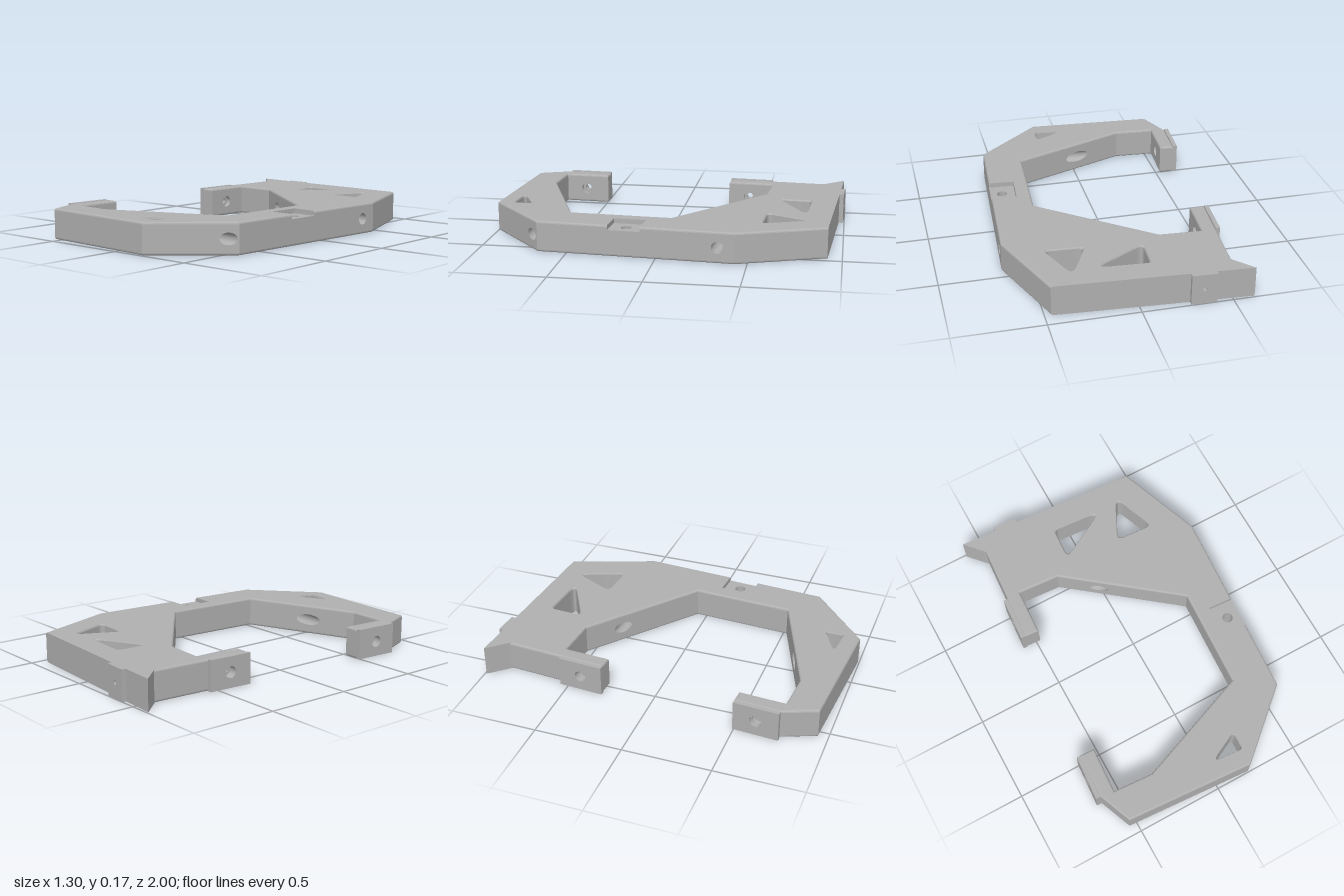
import * as THREE from 'three';
import { toCreasedNormals } from 'three/addons/utils/BufferGeometryUtils.js';

const H = 0.175, B = 0.012, FLOOR = 0.148, MID = 0.0875;
const V = (x, y, z) => new THREE.Vector3(x, y, z);
const UP = V(0, 1, 0);
const AXIS = V(-0.998, 0, -0.064).normalize(); // drilling direction
const SIDE = UP.clone().cross(AXIS);

// Plan outline as [x, z]; the pair marked as pocket lies on the straight right edge
const OUT = [
  [-0.62, -0.99], [-0.52, -0.88], [-0.56, -0.29], [-0.475, -0.285], [-0.46, -0.55], [-0.22, -0.535],
  [0.39, -0.055], [0.36, 0.52], [-0.31, 0.775], [-0.54, 0.76], [-0.525, 0.495], [-0.61, 0.49],
  [-0.625, 0.745], [-0.545, 0.945], [0.2, 0.995], [0.575, 0.665],
  [0.6005, 0.265], [0.612, 0.083], // pocket
  [0.645, -0.435], [0.465, -0.92],
];
const N = OUT.length, POCKET = 16, SHARP = [0, N - 1];

// Collects triangles, each turned to face a wanted direction
class Skin {
  constructor() { this.pos = []; }
  tri(a, b, c, n) {
    const f = b.clone().sub(a).cross(c.clone().sub(a));
    for (const p of f.dot(n) < 0 ? [a, c, b] : [a, b, c]) this.pos.push(p.x, p.y, p.z);
  }
  quad(a, b, c, d, n) { this.tri(a, b, c, n); this.tri(a, c, d, n); }
  face(contour, holes, n) {
    const u = (Math.abs(n.y) > 0.9 ? V(1, 0, 0) : UP).clone().cross(n).normalize();
    const v = n.clone().cross(u);
    const flat = (ps) => ps.map((p) => new THREE.Vector2(p.dot(u), p.dot(v)));
    const all = [contour, ...holes].flat();
    for (const [a, b, c] of THREE.ShapeUtils.triangulateShape(flat(contour), holes.map(flat)))
      this.tri(all[a], all[b], all[c], n);
  }
  // Hole lining between two rings, facing inwards
  lining(r0, r1) {
    const mid = (r) => r.reduce((s, p) => s.add(p), V(0, 0, 0)).divideScalar(r.length);
    const c = mid(r0).add(mid(r1)).multiplyScalar(0.5);
    const ax = mid(r1).sub(mid(r0)).normalize();
    r0.forEach((p, i) => {
      const j = (i + 1) % r0.length;
      const n = c.clone().sub(p.clone().add(r0[j]).multiplyScalar(0.5));
      n.addScaledVector(ax, -n.dot(ax));
      this.quad(p, r0[j], r1[j], r1[i], n);
    });
  }
  geometry() {
    const g = new THREE.BufferGeometry();
    g.setAttribute('position', new THREE.Float32BufferAttribute(this.pos, 3));
    return toCreasedNormals(g, 0.24);
  }
}

const edgeNormal = (i) => {
  const [a, b] = [OUT[i], OUT[(i + 1) % N]];
  return V(a[1] - b[1], 0, b[0] - a[0]).normalize();
};

// Outline moved inwards on its bevelled edges, at height y
function outlineRing(inset, y) {
  return OUT.map(([x, z], j) => {
    const i = (j + N - 1) % N, n1 = edgeNormal(i), n2 = edgeNormal(j);
    const b1 = SHARP.includes(i) ? 0 : -inset, b2 = SHARP.includes(j) ? 0 : -inset;
    const det = n1.x * n2.z - n1.z * n2.x;
    if (Math.abs(det) < 0.02) return V(x + n1.x * b1, y, z + n1.z * b1);
    return V(x + (b1 * n2.z - b2 * n1.z) / det, y, z + (n1.x * b2 - n2.x * b1) / det);
  });
}

// Drilled circle projected along the axis onto outline wall i
function drillRing(center, r, i) {
  const n = edgeNormal(i), p = V(OUT[i][0], 0, OUT[i][1]);
  return circle(center, r).map((q) => q.addScaledVector(AXIS, p.clone().sub(q).dot(n) / AXIS.dot(n)));
}
function circle(c, r, u = UP, v = SIDE) {
  return Array.from({ length: 32 }, (_, k) => {
    const a = (k / 32) * Math.PI * 2;
    return c.clone().addScaledVector(u, r * Math.cos(a)).addScaledVector(v, r * Math.sin(a));
  });
}

// Triangular window with rounded corners, scaled about its middle
function windowRing(pts, r, scale, y) {
  const p = pts.map(([x, z]) => new THREE.Vector2(x, z));
  const c = p[0].clone().add(p[1]).add(p[2]).divideScalar(3);
  const ring = [];
  p.forEach((q, i) => {
    const a = p[(i + 2) % 3].clone().sub(q).normalize(), b = p[(i + 1) % 3].clone().sub(q).normalize();
    const d = r / Math.tan(Math.acos(a.dot(b)) / 2);
    const curve = new THREE.QuadraticBezierCurve(q.clone().addScaledVector(a, d), q, q.clone().addScaledVector(b, d));
    for (const s of curve.getPoints(10)) ring.push(s.sub(c).multiplyScalar(scale).add(c));
  });
  return ring.map((s) => V(s.x, y, s.y));
}

function bodyGeometry() {
  const skin = new Skin();
  const down = V(0, -1, 0);

  // Horizontal bores: [start, outer wall, inner wall, arm inner wall, arm outer wall]
  const bores = [[V(0.637, MID, -0.34), 18 - 1, 5, 3, 1], [V(0.535, MID, 0.702), 14, 7, 9, 11]];
  const wallHoles = {};
  for (const [c, w0, w1, w2, w3] of bores) {
    const rings = [w0, w1, w2, w3].map((w) => (wallHoles[w] = drillRing(c, 0.033, w)));
    skin.lining(rings[0], rings[1]);
    // Arm: wide seats on both sides of a web with a narrow hole
    const armMid = rings[2].concat(rings[3]).reduce((s, p) => s.add(p), V(0, 0, 0)).divideScalar(64);
    const webs = [-0.012, 0.012].map((t) => armMid.clone().addScaledVector(AXIS, t));
    webs.forEach((m, k) => {
      skin.lining(rings[2 + k], circle(m, 0.033));
      skin.face(circle(m, 0.033), [circle(m, 0.018)], AXIS.clone().multiplyScalar(k ? 1 : -1));
    });
    skin.lining(circle(webs[0], 0.018), circle(webs[1], 0.018));
  }

  // Side walls and rounded top and bottom edges
  const low = outlineRing(0, B), high = outlineRing(0, H - B);
  for (let i = 0; i < N; i++) {
    const j = (i + 1) % N, cut = i === POCKET;
    const top = [high[j].clone(), high[i].clone()];
    if (cut) top.forEach((p) => { p.y = FLOOR; });
    skin.face([low[i], low[j], ...top], wallHoles[i] ? [wallHoles[i]] : [], edgeNormal(i));
  }
  const STEPS = 3;
  for (const s of [-1, 1]) for (let k = 0; k < STEPS; k++) {
    const [a, b] = [k, k + 1].map((m) => {
      const t = (m / STEPS) * Math.PI / 2;
      return outlineRing(B * (1 - Math.cos(t)), s > 0 ? H - B + B * Math.sin(t) : B - B * Math.sin(t));
    });
    for (let i = 0; i < N; i++) {
      if (s > 0 && i === POCKET) continue;
      const j = (i + 1) % N;
      skin.quad(a[i], a[j], b[j], b[i], edgeNormal(i).add(V(0, s * 0.3, 0)));
    }
  }

  // Windows with a slight chamfer
  const windows = [
    [[[-0.095, -0.81], [0.2, -0.79], [-0.105, -0.62]], 0.025],
    [[[0.33, -0.82], [0.21, -0.575], [0.43, -0.562]], 0.028],
    [[[0.207, 0.79], [0.203, 0.896], [0.02, 0.882]], 0.018],
  ];
  const topHoles = [], bottomHoles = [];
  for (const [pts, r] of windows) {
    const rings = [[1.07, 0], [1, 0.008], [1, H - 0.008], [1.07, H]].map(([s, y]) => windowRing(pts, r, s, y));
    for (let k = 0; k < 3; k++) skin.lining(rings[k], rings[k + 1]);
    bottomHoles.push(rings[0]);
    topHoles.push(rings[3]);
  }

  // Pocket with a vertical screw hole
  const cap = outlineRing(B, H);
  const ends = [0, 1].map((k) => V(OUT[POCKET + k][0], FLOOR, OUT[POCKET + k][1]));
  const inner = ends.map((p) => p.clone().addScaledVector(AXIS, 0.145));
  const rim = inner.map((p) => V(p.x, H, p.z));
  const [screwTop, screwLow] = [FLOOR, 0].map((y) => circle(V(0.537, y, 0.17), 0.03, V(1, 0, 0), V(0, 0, 1)));
  skin.face([ends[0], ends[1], inner[1], inner[0]], [screwTop], UP);
  skin.quad(inner[0], inner[1], rim[1], rim[0], AXIS.clone().negate());
  [0, 1].forEach((k) => {
    const n = ends[1 - k].clone().sub(ends[k]).normalize();
    skin.face([ends[k], inner[k], rim[k], cap[POCKET + k], high[POCKET + k]], [], n);
  });
  skin.lining(screwLow, screwTop);

  // Top and bottom
  skin.face([...cap.slice(0, POCKET + 1), ...rim, ...cap.slice(POCKET + 1)], topHoles, UP);
  skin.face(outlineRing(B, 0), [...bottomHoles, screwLow], down);
  return skin.geometry();
}

// Full-height pad with a round hole, standing out from a wall along direction d
function pad(name, material, x, z, d, width, depth, r) {
  const s = new THREE.Shape();
  s.moveTo(-width / 2, 0).lineTo(width / 2, 0).lineTo(width / 2, H).lineTo(-width / 2, H);
  s.holes.push(new THREE.Path().absarc(0, MID, r, 0, Math.PI * 2, true));
  const g = new THREE.ExtrudeGeometry(s, { depth, bevelEnabled: false, curveSegments: 24 });
  g.applyMatrix4(new THREE.Matrix4().makeBasis(UP.clone().cross(d), UP, d).setPosition(x, 0, z));
  const m = new THREE.Mesh(g, material);
  m.name = name;
  return m;
}

export function createModel() {
  const group = new THREE.Group();
  group.name = 'bracket';
  const grey = new THREE.MeshStandardMaterial({ color: 0xb0b0b0 });
  grey.name = 'light grey';

  const body = new THREE.Mesh(bodyGeometry(), grey);
  body.name = 'frame';
  group.add(body);

  group.add(pad('backArmPad', grey, -0.551, -0.418, AXIS, 0.26, 0.025, 0.033));
  group.add(pad('frontArmPad', grey, -0.617, 0.624, AXIS, 0.26, 0.025, 0.033));
  group.add(pad('backTab', grey, -0.34, -0.972, V(0.064, 0, -0.998).normalize(), 0.14, 0.025, 0.012));
  return group;
}
